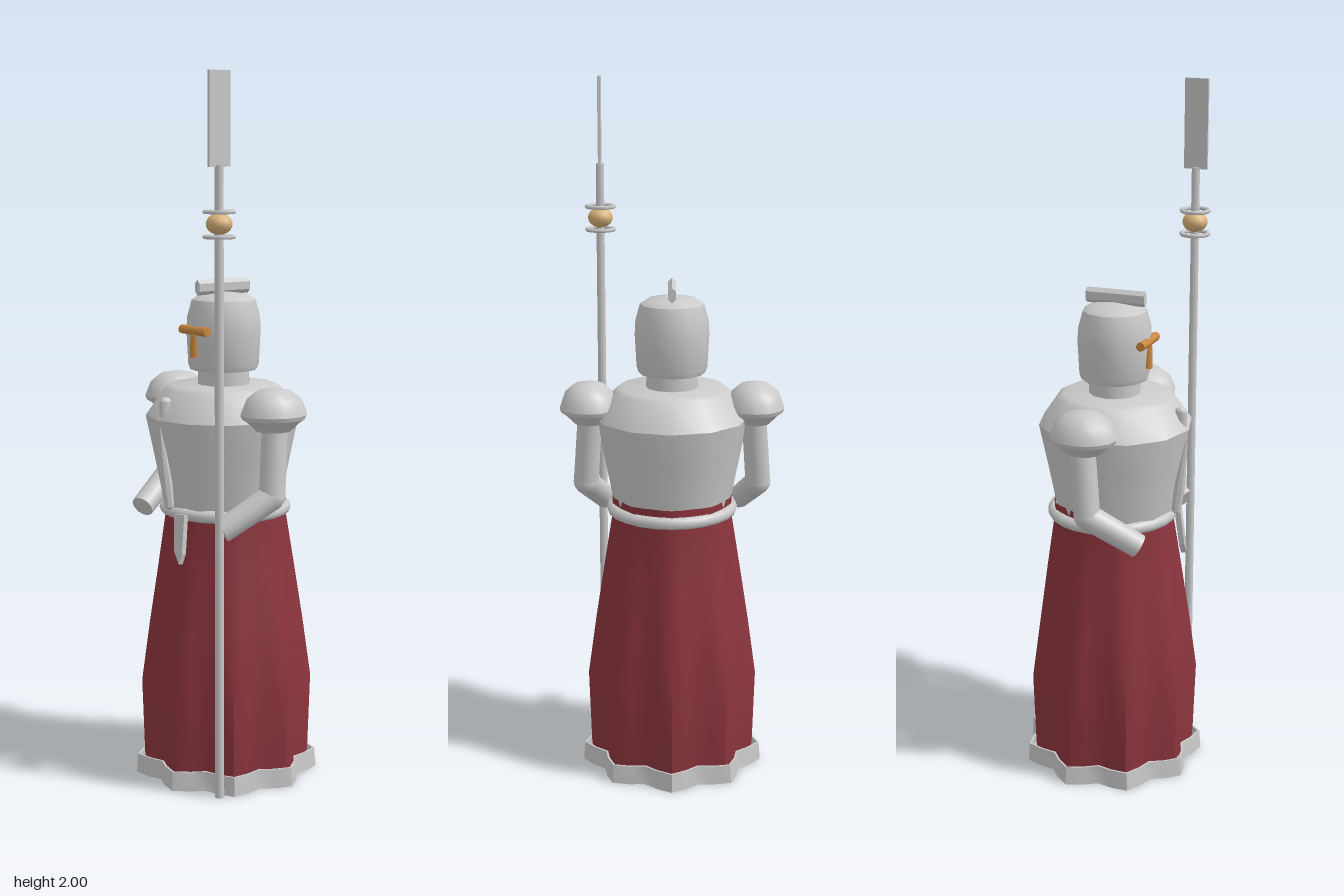
import * as THREE from 'three';
import { toCreasedNormals } from 'three/addons/utils/BufferGeometryUtils.js';

const mat = (name, color, side = THREE.FrontSide) => {
  const m = new THREE.MeshStandardMaterial({ color, side });
  m.name = name;
  return m;
};

export function createModel() {
  const steel = mat('steel', 0xcacaca, THREE.DoubleSide);
  const cloth = mat('red cloth', 0x8c353d, THREE.DoubleSide);
  const brass = mat('brass', 0xd8b27a);
  const visorGold = mat('visor gold', 0xcc8a40);

  const model = new THREE.Group();
  model.name = 'guard';

  const add = (name, geo, material, x = 0, y = 0, z = 0, parent = model) => {
    const m = new THREE.Mesh(geo, material);
    m.name = name;
    m.position.set(x, y, z);
    parent.add(m);
    return m;
  };
  const lathe = (pts, sides = 12) =>
    toCreasedNormals(new THREE.LatheGeometry(pts.map(p => new THREE.Vector2(p[0], p[1])), sides), 0.62);

  // Nine-fold pleats: each profile point is [radius, height, pleat depth]
  const pleated = (pts) => {
    const n = 36;
    const geo = new THREE.LatheGeometry(pts.map(p => new THREE.Vector2(p[0], p[1])), n);
    const pos = geo.attributes.position;
    for (let i = 0; i <= n; i++) {
      const a = (i / n) * Math.PI * 2;
      pts.forEach(([r, y, d], j) => {
        const rr = r - d * Math.cos(9 * a);
        pos.setXYZ(i * pts.length + j, rr * Math.sin(a), y, rr * Math.cos(a));
      });
    }
    geo.computeVertexNormals();
    return toCreasedNormals(geo, 0.9);
  };

  // Skirt, closed underneath, and its hem
  add('skirt', pleated([
    [0, 0.004, 0], [0.222, 0.004, 0.016], [0.227, 0.06, 0.016], [0.234, 0.28, 0.016],
    [0.215, 0.45, 0.011], [0.193, 0.62, 0.006], [0.17, 0.78, 0.003], [0.171, 0.82, 0.004],
  ]), cloth);
  add('hem', pleated([
    [0.242, 0, 0.02], [0.248, 0, 0.02], [0.244, 0.055, 0.02], [0.238, 0.055, 0.02], [0.242, 0, 0.02],
  ]), steel);

  // Belt
  const belt = add('belt', new THREE.TorusGeometry(0.172, 0.018, 8, 24), steel, 0, 0.782, 0);
  belt.rotation.x = Math.PI / 2;

  // Breastplate
  add('breastplate', lathe([
    [0, 0.77], [0.166, 0.77], [0.18, 0.85], [0.2, 0.95], [0.221, 1.05],
    [0.167, 1.128], [0.15, 1.138], [0, 1.138],
  ]), steel, 0, 0, 0.008);

  // Neck and helmet
  add('neck', new THREE.CylinderGeometry(0.072, 0.075, 0.08, 12), steel, 0, 1.16, 0.005);
  add('helmet', lathe([
    [0, 1.18], [0.095, 1.18], [0.101, 1.195], [0.106, 1.29], [0.104, 1.33],
    [0.091, 1.378], [0.07, 1.392], [0, 1.402],
  ]), steel, 0, 0, 0.005);

  // Helmet crest
  const crest = add('crest', toCreasedNormals(new THREE.CylinderGeometry(0.013, 0.013, 0.175, 6), 0.5), steel, 0, 1.415, 0.008);
  crest.rotation.x = Math.PI / 2;
  crest.scale.z = 1.7;

  // T-shaped visor
  const bar = add('visorBar', new THREE.CylinderGeometry(0.013, 0.013, 0.126, 8), visorGold, 0, 1.295, 0.105);
  bar.rotation.z = Math.PI / 2;
  add('visorStem', new THREE.CylinderGeometry(0.012, 0.014, 0.075, 8), visorGold, 0, 1.256, 0.105);

  // Chest ornaments
  const stud = add('chestStud', new THREE.CapsuleGeometry(0.014, 0.045, 4, 8), steel, 0, 1.078, 0.205);
  stud.scale.z = 1.3;
  const ridge = add('chestRidge', lathe([
    [0, -0.12], [0.014, -0.11], [0.017, -0.04], [0.011, 0.04], [0.002, 0.125],
  ], 8), steel, 0, 0.91, 0.208);
  ridge.rotation.x = 0.13;

  // Hanging dagger
  const blade = new THREE.Shape([[-0.02, 0.07], [0.02, 0.07], [0.017, -0.04], [0.006, -0.07], [-0.014, -0.035]]
    .map(p => new THREE.Vector2(p[0], p[1])));
  const dagger = add('dagger', new THREE.ExtrudeGeometry(blade, { depth: 0.016, bevelEnabled: false }),
    steel, 0.05, 0.715, 0.185);
  dagger.rotation.set(-0.12, 0.2, 0.08);

  // Arms and pauldrons
  const rod = (name, a, b, r0, r1, parent) => {
    const dir = b.clone().sub(a);
    const m = add(name, new THREE.CylinderGeometry(r1, r0, dir.length(), 12), steel, 0, 0, 0, parent);
    m.position.copy(a).add(b).multiplyScalar(0.5);
    m.quaternion.setFromUnitVectors(new THREE.Vector3(0, 1, 0), dir.normalize());
  };
  for (const s of [1, -1]) {
    const arm = new THREE.Group();
    arm.name = s > 0 ? 'leftArm' : 'rightArm';
    model.add(arm);
    const shoulder = new THREE.Vector3(s * 0.235, 1.06, 0);
    const elbow = new THREE.Vector3(s * 0.25, 0.85, 0.02);
    const hand = new THREE.Vector3(s * 0.2, 0.762, 0.155);
    rod('upperArm', shoulder, elbow, 0.036, 0.037, arm);
    add('elbow', new THREE.SphereGeometry(0.037, 12, 8), steel, elbow.x, elbow.y, elbow.z, arm);
    rod('forearm', elbow, hand, 0.037, 0.034, arm);
    const pauldron = add('pauldron', lathe([
      [0, 1.03], [0.05, 1.032], [0.078, 1.058], [0.092, 1.066], [0.097, 1.078], [0.092, 1.092],
      [0.08, 1.12], [0.05, 1.143], [0, 1.152],
    ], 14), steel, s * 0.238, 0, 0.006, arm);
    pauldron.scale.x = 0.88;
  }

  // Polearm
  const pole = new THREE.Group();
  pole.name = 'polearm';
  pole.position.set(0.207, 0, 0.168);
  model.add(pole);
  add('shaft', new THREE.CylinderGeometry(0.012, 0.013, 1.755, 10), steel, 0, 0.8775, 0, pole);
  add('poleBlade', new THREE.BoxGeometry(0.008, 0.25, 0.068), steel, 0, 1.875, 0, pole);
  const knob = add('knob', new THREE.SphereGeometry(0.036, 14, 10), brass, 0, 1.6, 0, pole);
  knob.scale.y = 0.8;
  for (const y of [1.566, 1.632]) {
    const ring = add('ring', new THREE.TorusGeometry(0.039, 0.006, 6, 14), steel, 0, y, 0, pole);
    ring.rotation.x = Math.PI / 2;
  }
  return model;
}
